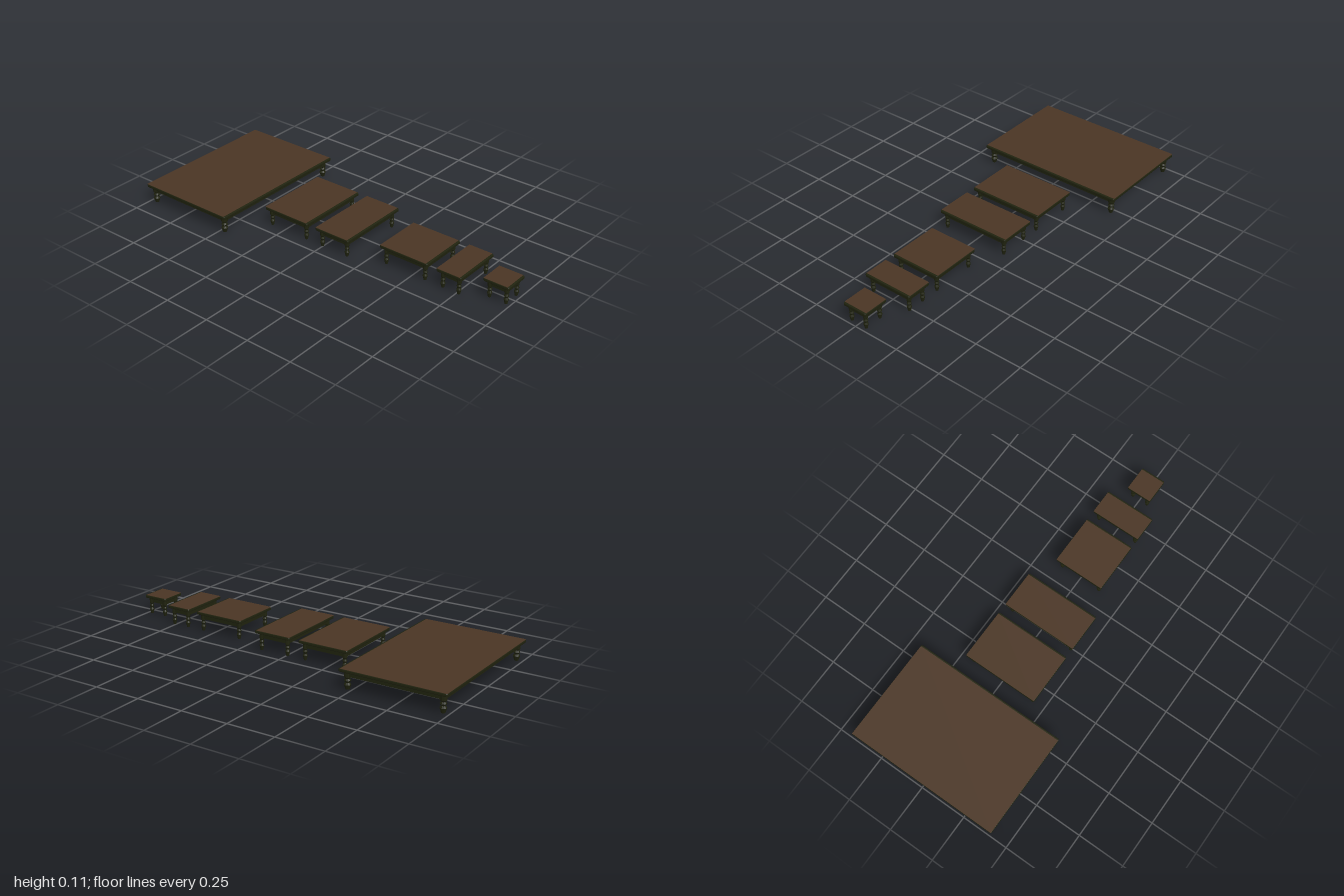
import * as THREE from 'three';

const brown = new THREE.MeshStandardMaterial({ color: 0x4a3524 });
brown.name = 'brownWood';
const olive = new THREE.MeshStandardMaterial({ color: 0x1f220e, flatShading: true });
olive.name = 'darkOliveWood';

const HEIGHT = 0.105, SLAB = 0.016, APRON_BOTTOM = 0.065;

function addMesh(parent, name, geometry, material, x = 0, y = 0, z = 0) {
  const mesh = new THREE.Mesh(geometry, material);
  mesh.name = name;
  mesh.position.set(x, y, z);
  parent.add(mesh);
  return mesh;
}

// Closed rectangle centred on the origin, with clipped corners
function rectangle(w, d, c, Type = THREE.Shape) {
  const x = w / 2, y = d / 2;
  return new Type([
    [c - x, -y], [x - c, -y], [x, c - y], [x, y - c],
    [x - c, y], [c - x, y], [-x, y - c], [-x, c - y],
  ].map(([a, b]) => new THREE.Vector2(a, b)));
}

// Turned leg: tapered foot, bead, necks and a straight upper block
function legGeometry(r) {
  const profile = [
    [0, 0], [0.55, 0], [0.98, 0.024], [0.6, 0.034], [0.95, 0.044],
    [0.62, 0.053], [0.95, 0.061], [0.98, 0.09], [0, 0.09],
  ];
  return new THREE.LatheGeometry(profile.map(([k, y]) => new THREE.Vector2(k * r, y)), 10);
}

function createTable(name, x0, x1, halfDepth, legRadius, legInset) {
  const table = new THREE.Group();
  table.name = name;
  table.position.x = (x0 + x1) / 2;
  const w = x1 - x0, d = halfDepth * 2, b = 0.004;

  // Slab with bevelled edges
  const slab = new THREE.ExtrudeGeometry(rectangle(w - 2 * b, d - 2 * b, 0.003), {
    depth: SLAB - 2 * b, bevelEnabled: true, bevelSize: b, bevelThickness: b, bevelSegments: 2,
  });
  slab.rotateX(-Math.PI / 2);
  addMesh(table, 'tabletopEdge', slab, olive, 0, HEIGHT - SLAB + b, 0);

  // Brown board on top, leaving a dark strip along the left edge
  const strip = 0.008;
  addMesh(table, 'tabletopBoard', new THREE.BoxGeometry(w - strip - 0.002, 0.001, d - 0.004),
    brown, -strip / 2, HEIGHT, 0);

  // Apron: a hollow frame under the slab
  const inset = legInset - legRadius * 0.6, thick = 0.01;
  const aw = w - 2 * inset, ad = d - 2 * inset;
  const frame = rectangle(aw, ad, 0.001);
  frame.holes.push(rectangle(aw - 2 * thick, ad - 2 * thick, 0.001, THREE.Path));
  const apron = new THREE.ExtrudeGeometry(frame, {
    depth: HEIGHT - SLAB - APRON_BOTTOM + 0.002, bevelEnabled: false,
  });
  apron.rotateX(-Math.PI / 2);
  addMesh(table, 'apron', apron, olive, 0, APRON_BOTTOM, 0);

  // Brown underside of the board, seen inside the apron
  addMesh(table, 'undersideBoard', new THREE.BoxGeometry(aw - 2 * thick, 0.002, ad - 2 * thick),
    brown, 0, HEIGHT - SLAB - 0.0005, 0);

  // Four legs
  const leg = legGeometry(legRadius);
  for (const sx of [-1, 1]) {
    for (const sz of [-1, 1]) {
      addMesh(table, (sz > 0 ? 'front' : 'back') + (sx > 0 ? 'Left' : 'Right') + 'Leg',
        leg, olive, sx * (w / 2 - legInset), 0, sz * (halfDepth - legInset));
    }
  }
  return table;
}

export function createModel() {
  const model = new THREE.Group();
  model.name = 'tableSet';
  const tables = [
    ['largeTable', -1.0, -0.443, 0.416, 0.018, 0.033],
    ['mediumWideTable', -0.361, -0.083, 0.206, 0.0125, 0.026],
    ['mediumNarrowTable', -0.031, 0.176, 0.206, 0.0125, 0.026],
    ['smallWideTable', 0.315, 0.594, 0.138, 0.0125, 0.025],
    ['smallNarrowTable', 0.646, 0.786, 0.138, 0.0125, 0.025],
    ['stoolTable', 0.86, 1.0, 0.069, 0.0125, 0.025],
  ];
  for (const t of tables) model.add(createTable(...t));
  return model;
}
